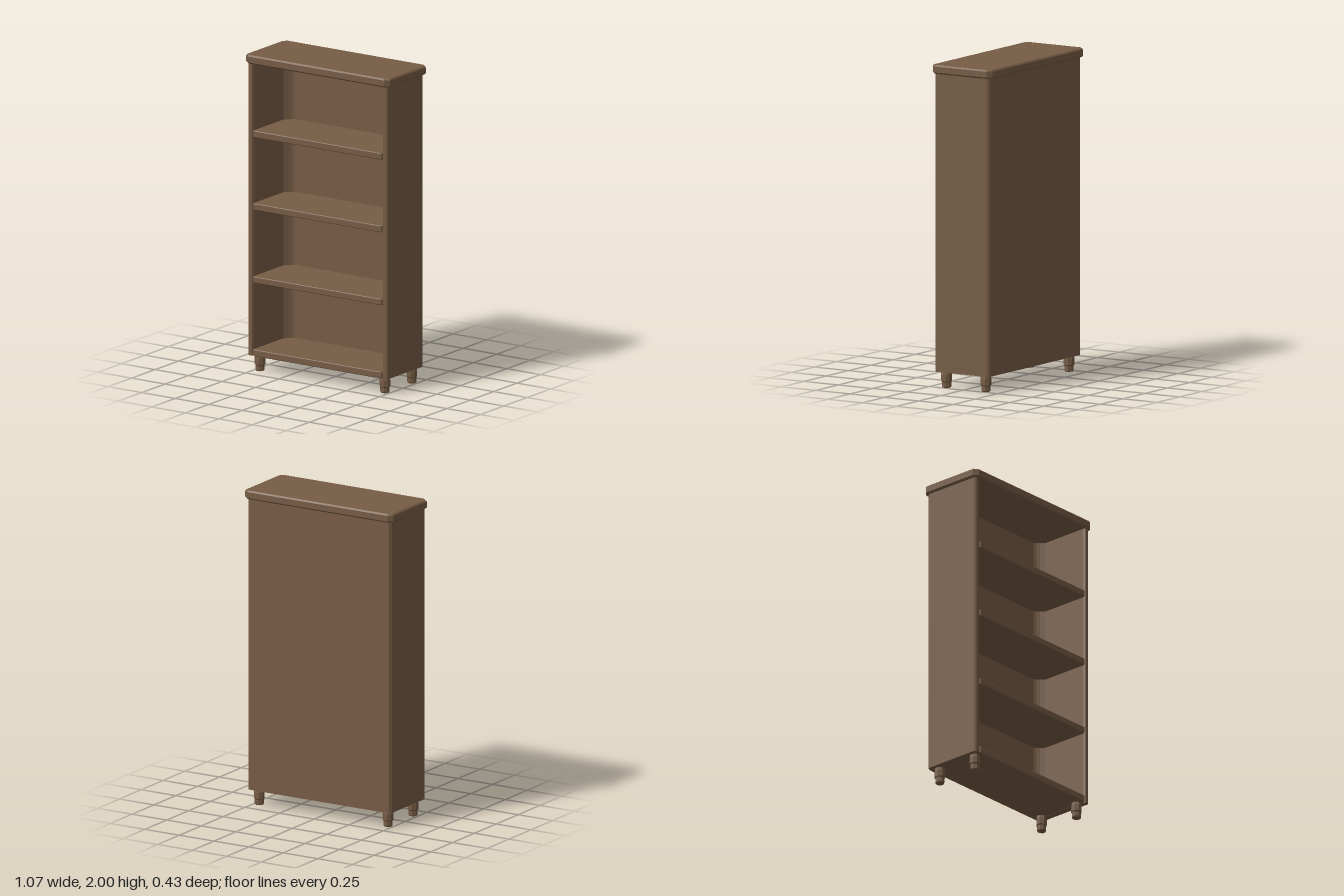
import * as THREE from 'three';

export function createModel() {
  const model = new THREE.Group();
  const wood = new THREE.MeshStandardMaterial({ color: 0x765c45 });
  wood.name = 'brown wood';

  const add = (name, geometry, x = 0, y = 0, z = 0) => {
    const mesh = new THREE.Mesh(geometry, wood);
    mesh.name = name;
    mesh.position.set(x, y, z);
    model.add(mesh);
  };

  // Raise a floor plan, given as the [x, z] points of its +x half, front to back
  const raise = (half, height, bevel = 0) => {
    const mirrored = half.map(([x, z]) => [-x, z]).reverse();
    const points = [...half, ...mirrored].map(([x, z]) => new THREE.Vector2(x, -z));
    const geometry = new THREE.ExtrudeGeometry(new THREE.Shape(points), {
      depth: height - 2 * bevel, bevelEnabled: bevel > 0, bevelSize: bevel,
      bevelOffset: -bevel, bevelThickness: bevel, bevelSegments: 1,
    });
    geometry.translate(0, 0, bevel);
    return geometry.rotateX(-Math.PI / 2);
  };

  // Sides and back in one U-shaped case, with softened outer and inner corners
  const inside = [[0.43, -0.175], [0.445, -0.165], [0.46, -0.15], [0.48, -0.125], [0.48, 0.185]];
  const outside = [[0.487, 0.198], [0.51, 0.198], [0.52, 0.188], [0.52, -0.18], [0.508, -0.195], [0.49, -0.2]];
  add('case', raise([...inside, ...outside], 1.85), 0, 0.1, 0);

  // Shelves with cut corners and a small eased edge
  const shelfPlan = [[0.472, 0.203], [0.482, 0.193], [0.482, -0.122], [0.43, -0.178]];
  for (const [name, y, height] of [
    ['bottomShelf', 0.1, 0.042], ['lowerShelf', 0.563, 0.04],
    ['middleShelf', 1.023, 0.042], ['upperShelf', 1.482, 0.042],
  ]) add(name, raise(shelfPlan, height, 0.004), 0, y, 0);

  // Overhanging top board with clipped corners
  const topPlan = [[0.508, 0.217], [0.536, 0.191], [0.536, -0.191], [0.508, -0.217]];
  add('topBoard', raise(topPlan, 0.055, 0.009), 0, 1.945, 0);

  // Short turned feet with a narrower bottom
  const footProfile = [[0, 0], [0.025, 0], [0.029, 0.006], [0.029, 0.035], [0.034, 0.042], [0.034, 0.08], [0.03, 0.105], [0, 0.105]]
    .map(([r, y]) => new THREE.Vector2(r, y));
  const foot = new THREE.LatheGeometry(footProfile, 8, Math.PI / 8).toNonIndexed();
  foot.computeVertexNormals();
  for (const x of [-0.465, 0.465])
    for (const z of [-0.142, 0.145])
      add((z > 0 ? 'front' : 'back') + (x > 0 ? 'Left' : 'Right') + 'Foot', foot, x, 0, z);

  return model;
}
